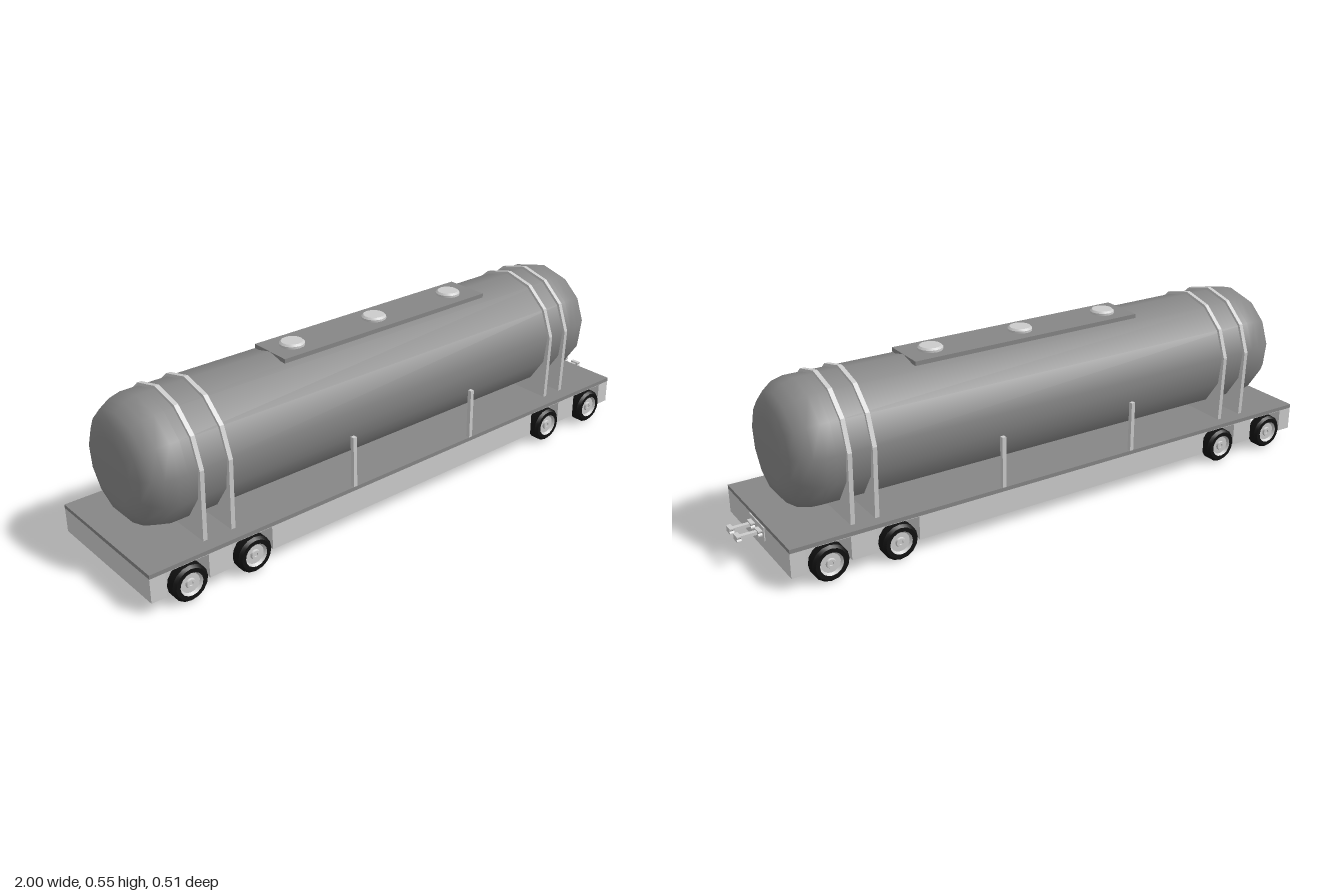
import * as THREE from 'three';
import { toCreasedNormals } from 'three/addons/utils/BufferGeometryUtils.js';

const light = new THREE.MeshStandardMaterial({ color: 0xcccccc });
const dark = new THREE.MeshStandardMaterial({ color: 0x868686 });
const rubber = new THREE.MeshStandardMaterial({ color: 0x111111 });

const V = (pts) => pts.map(([x, y]) => new THREE.Vector2(x, y));

function add(parent, name, geometry, material, x = 0, y = 0, z = 0) {
  const mesh = new THREE.Mesh(geometry, material);
  mesh.name = name;
  mesh.position.set(x, y, z);
  parent.add(mesh);
  return mesh;
}

// box given by its limits on each axis
function box(parent, name, material, [x0, x1], [y0, y1], [z0, z1]) {
  return add(parent, name, new THREE.BoxGeometry(x1 - x0, y1 - y0, z1 - z0), material,
    (x0 + x1) / 2, (y0 + y1) / 2, (z0 + z1) / 2);
}

function extrude(pts, depth) {
  return new THREE.ExtrudeGeometry(new THREE.Shape(V(pts)), { depth, bevelEnabled: false })
    .translate(0, 0, -depth / 2);
}

export function createModel() {
  const model = new THREE.Group();
  model.name = 'tankTrailer';
  const axles = [-0.88, -0.662, 0.582, 0.803];
  const tankY = 0.335, tankZ = -0.004, tankR = 0.2, sides = 13;

  // chassis with a full-width channel above each axle
  const outline = [[-1, 0.04]];
  for (const x of axles) outline.push([x - 0.07, 0.04], [x - 0.07, 0.117], [x + 0.07, 0.117], [x + 0.07, 0.04]);
  outline.push([0.92, 0.04], [0.92, 0.12], [-1, 0.12]);
  add(model, 'chassis', extrude(outline, 0.48), light);
  box(model, 'deck', dark, [-1, 0.92], [0.119, 0.132], [-0.241, 0.241]);

  // tank barrel with rounded ends
  const end = [[0, 0], [0.1, 0], [0.142, 0.012], [0.168, 0.031], [0.19, 0.062], [tankR, 0.1], [tankR, 0.13]];
  const profile = [
    ...end.map(([r, d]) => [r, -0.957 + d]),
    ...end.slice().reverse().map(([r, d]) => [r, 0.873 - d]),
  ];
  const tankGeo = new THREE.LatheGeometry(V(profile), sides, -Math.PI / 2).rotateZ(-Math.PI / 2);
  add(model, 'tank', tankGeo, dark, 0, tankY, tankZ);

  // saddle straps: follow the tank facets, then drop to the deck
  const strapPts = [[-0.199, 0.132 - tankY]];
  for (let k = -3; k <= 3; k++) {
    const a = (k * 2 * Math.PI) / sides;
    strapPts.push([Math.sin(a) * 0.209, Math.cos(a) * 0.209]);
  }
  strapPts.push([0.199, 0.132 - tankY]);
  const strapGeo = extrude(strapPts.reverse(), 0.014).rotateY(Math.PI / 2);
  for (const x of [-0.79, -0.695, 0.63, 0.708]) add(model, 'saddleStrap', strapGeo, light, x, tankY, tankZ);

  // side stakes
  for (const x of [-0.278, 0.215])
    for (const s of [-1, 1])
      add(model, 'sideStake', new THREE.BoxGeometry(0.013, 0.168, 0.014), light, x, 0.216, s * 0.234);

  // walkway and hatches on top
  box(model, 'walkway', dark, [-0.403, 0.422], [0.521, 0.535], [-0.075 + tankZ, 0.075 + tankZ]);
  const hatchGeo = toCreasedNormals(new THREE.LatheGeometry(
    V([[0.04, 0], [0.04, 0.007], [0.034, 0.013], [0, 0.013]]), 16), 0.5);
  for (const x of [-0.32, 0.005, 0.33]) add(model, 'hatch', hatchGeo, light, x, 0.535, tankZ);

  // wheels
  const w = 0.0225;
  const tireGeo = toCreasedNormals(new THREE.LatheGeometry(V([[0.037, -w], [0.05, -w], [0.058, -0.014],
    [0.058, 0.014], [0.05, w], [0.037, w]]), 16).rotateX(Math.PI / 2), 0.5);
  const hubGeo = toCreasedNormals(new THREE.LatheGeometry(V([[0, -0.014], [0.03, -0.014], [0.038, -0.022],
    [0.038, 0.022], [0.031, 0.014], [0.016, 0.014], [0.014, 0.02], [0.007, 0.02], [0.006, 0.016], [0, 0.016]]), 16)
    .rotateX(Math.PI / 2), 0.5);
  for (const x of axles) {
    for (const s of [-1, 1]) {
      const wheel = new THREE.Group();
      wheel.name = 'wheel';
      wheel.position.set(x, 0.058, s * 0.2345);
      if (s < 0) wheel.rotation.y = Math.PI;
      add(wheel, 'tire', tireGeo, rubber);
      add(wheel, 'hub', hubGeo, light);
      model.add(wheel);
    }
  }

  // hitch: mounting plate and two notched couplers
  box(model, 'hitchPlate', light, [0.918, 0.923], [0.074, 0.118], [-0.056, 0.056]);
  const headGeo = extrude([[-0.016, -0.009], [0.016, -0.009], [0.016, -0.005], [0.012, 0], [0.016, 0.005],
    [0.016, 0.009], [-0.016, 0.009], [-0.016, 0.005], [-0.012, 0], [-0.016, -0.005]], 0.014).rotateY(Math.PI / 2);
  for (const s of [-1, 1]) {
    const z = s * 0.029;
    box(model, 'hitchBar', light, [0.92, 0.99], [0.09, 0.1], [z - 0.007, z + 0.007]);
    add(model, 'hitchFoot', headGeo, light, 0.929, 0.095, z);
    add(model, 'hitchHead', headGeo, light, 0.993, 0.095, z);
  }
  return model;
}
